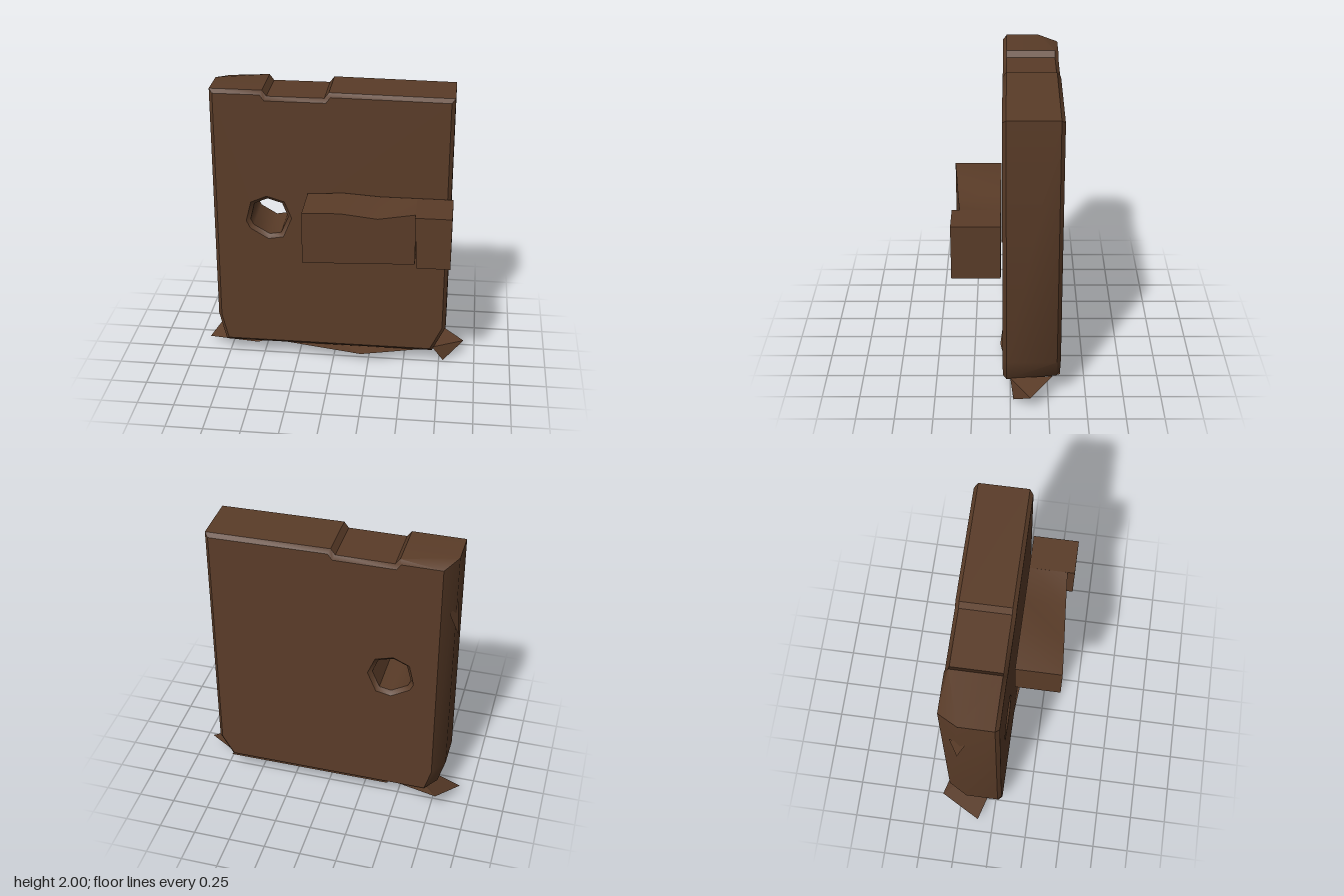
import * as THREE from 'three';
import { toCreasedNormals } from 'three/addons/utils/BufferGeometryUtils.js';
import { ConvexGeometry } from 'three/addons/geometries/ConvexGeometry.js';

const wood = new THREE.MeshStandardMaterial({ color: 0x5a3c28, side: THREE.DoubleSide });
wood.name = 'dark wood';

const points2 = (list) => list.map(([x, y]) => new THREE.Vector2(x, y));

// Move every vertex by a rule, then recompute creased normals.
function reshape(geometry, rule) {
  const g = geometry.index ? geometry.toNonIndexed() : geometry;
  const p = g.attributes.position;
  const v = new THREE.Vector3();
  for (let i = 0; i < p.count; i++) {
    rule(v.fromBufferAttribute(p, i));
    p.setXYZ(i, v.x, v.y, v.z);
  }
  return toCreasedNormals(g, 0.75);
}

function add(group, name, geometry) {
  const mesh = new THREE.Mesh(geometry, wood);
  mesh.name = name;
  group.add(mesh);
}

// Thin torn sheet made as a fan of triangles around the first corner.
function sheet(corners) {
  const tri = [];
  for (let i = 1; i < corners.length - 1; i++) tri.push(...corners[0], ...corners[i], ...corners[i + 1]);
  const g = new THREE.BufferGeometry();
  g.setAttribute('position', new THREE.Float32BufferAttribute(tri, 3));
  g.computeVertexNormals();
  return g;
}

export function createModel() {
  const model = new THREE.Group();
  model.name = 'woodenDoorPanel';

  // Slab with stepped top, cut lower corners and a rough round hole
  const outline = new THREE.Shape(points2([
    [-0.77, 0.11], [0.7, 0.11], [0.79, 0.3], [0.79, 1.99], [-0.03, 2], [-0.06, 1.96],
    [-0.44, 1.96], [-0.47, 2], [-0.82, 2], [-0.82, 0.32],
  ]));
  outline.holes.push(new THREE.Path(points2([
    [-0.45, 1.23], [-0.35, 1.2], [-0.31, 1.1], [-0.36, 0.98], [-0.44, 0.965],
    [-0.55, 1.03], [-0.57, 1.07], [-0.54, 1.19],
  ])));
  const slab = new THREE.ExtrudeGeometry(outline, {
    depth: 0.33, bevelEnabled: true, bevelThickness: 0.025, bevelSize: 0.025, bevelOffset: -0.025, bevelSegments: 1,
  });
  slab.translate(0, 0, -0.305);
  add(model, 'slab', reshape(slab, (v) => {
    if (v.x < -0.72 && v.z < -0.2) {            // wide chamfer along the rear right edge
      if (v.z > -0.32) v.z = -0.2;
      else v.x += 0.05;
    }
    if (v.y < 0.2 && v.z < -0.15) v.y += 0.03;  // underside rises toward the back
  }));

  // Latch bar, tapering in depth with a sagging upper front edge
  const bar = new THREE.BoxGeometry(0.74, 0.36, 0.31, 3, 1, 1);
  bar.translate(0.2, 1.115, 0.215);
  add(model, 'latchBar', reshape(bar, (v) => {
    const t = (v.x + 0.17) / 0.74;
    if (v.z > 0.2) {
      v.z = 0.375 - 0.055 * t;
      if (v.y > 1.1 && t > 0.5 && t < 0.9) v.y -= 0.035;
    } else if (v.y > 1.1 && t > 0.2 && t < 0.5) v.y = 1.31;
  }));

  // Block at the end of the bar
  const block = new THREE.BoxGeometry(0.23, 0.36, 0.31);
  block.translate(0.69, 1.115, 0.215);
  add(model, 'latchBlock', reshape(block, (v) => {
    if (v.x < 0.6) v.x += v.y > 1.1 ? -0.01 : 0.01;
  }));

  // Torn wood along the bottom edge
  add(model, 'bottomSplinter', sheet([
    [0.2, 0.07, 0.07], [0.7, 0.11, 0], [0.7, 0.15, -0.33], [-0.44, 0.15, -0.33], [-0.44, 0.12, 0.02],
  ]));
  add(model, 'rightCornerSplinter', sheet([
    [-0.79, 0.155, -0.38], [-0.92, 0.04, -0.11], [-0.55, 0.08, 0], [-0.43, 0.12, 0], [-0.5, 0.14, -0.3],
  ]));
  add(model, 'leftCornerSplinter', new ConvexGeometry([
    [0.92, 0.11, -0.13], [0.78, 0.005, -0.02], [0.7, 0.12, 0], [0.73, 0.155, -0.28],
  ].map((p) => new THREE.Vector3(...p))));

  // Small chip on the right side
  add(model, 'sideChip', sheet([[-0.82, 1.65, -0.16], [-0.845, 1.44, -0.22], [-0.79, 1.62, -0.27]]));

  return model;
}
